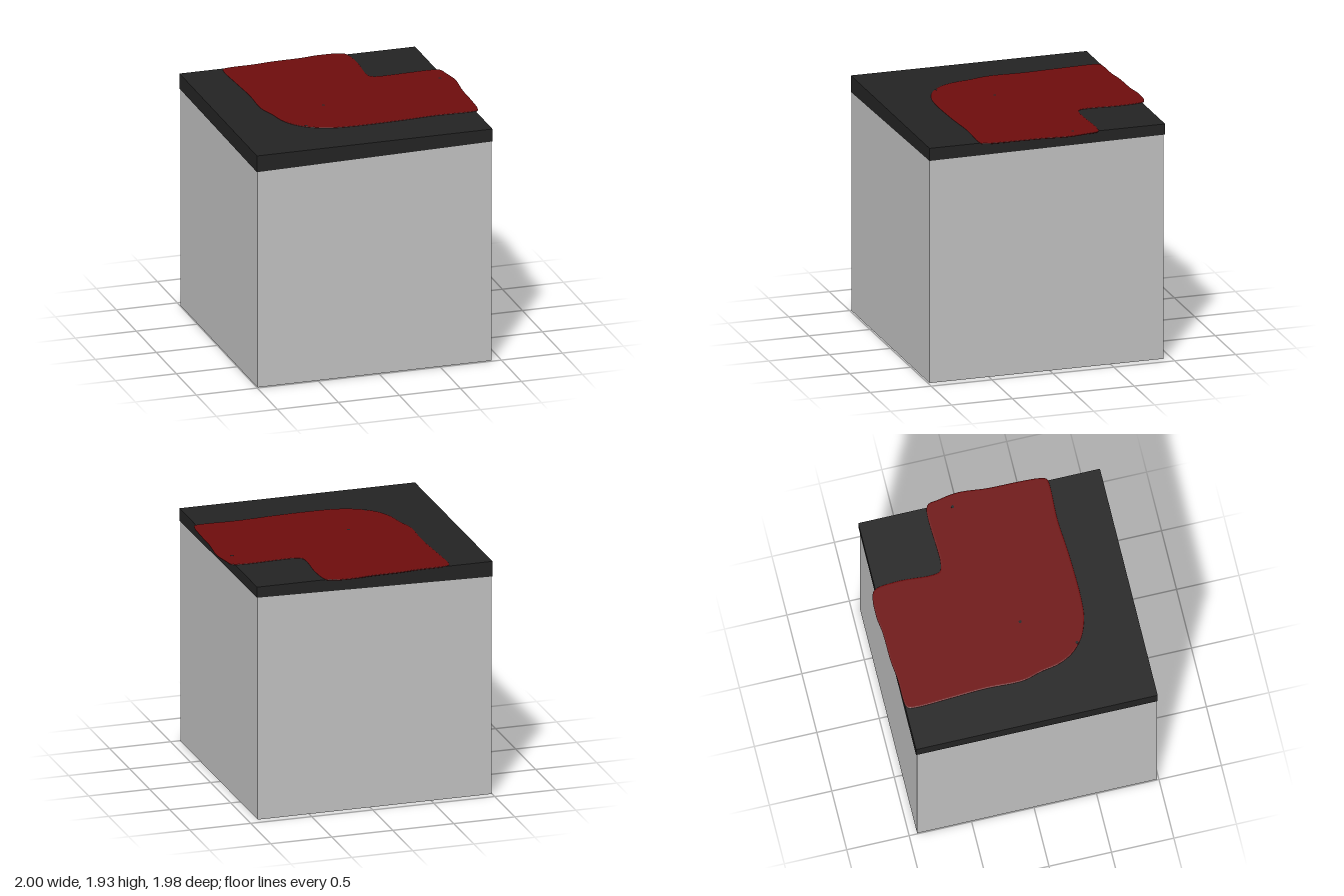
import * as THREE from 'three';

const flat = (name, color) => {
  const m = new THREE.MeshStandardMaterial({ color });
  m.name = name;
  return m;
};

export function createModel() {
  const group = new THREE.Group();
  group.name = 'cubeWithCloth';
  const grey = flat('light grey', 0xc2c2c2);
  const dark = flat('charcoal', 0x232323);
  const red = flat('dark red', 0x6e0d0d);

  const add = (name, geometry, material) => {
    const mesh = new THREE.Mesh(geometry, material);
    mesh.name = name;
    group.add(mesh);
    return mesh;
  };
  const box = (x0, x1, y0, y1, z0, z1) =>
    new THREE.BoxGeometry(x1 - x0, y1 - y0, z1 - z0)
      .translate((x0 + x1) / 2, (y0 + y1) / 2, (z0 + z1) / 2);

  // Cube body
  add('body', box(-0.995, 0.922, 0, 1.9, -0.935, 0.987), grey);

  // Lid with an uneven lower edge
  const lid = box(-1, 0.93, 1.79, 1.925, -0.945, 0.99);
  const p = lid.attributes.position;
  for (let i = 0; i < p.count; i++) {
    if (p.getY(i) > 1.9) continue;
    const back = p.getZ(i) < 0;
    if (p.getX(i) < 0) p.setY(i, back ? 1.8 : 1.79);
    else p.setY(i, back ? 1.838 : 1.822);
  }
  lid.computeVertexNormals();
  add('lid', lid, dark);

  // Thin patch lying on the lid and overhanging two sides, outline as x, z
  const outline = [
    [-0.66, -0.88], [-0.645, -0.93], [-0.6, -0.945], [-0.4, -0.95], [-0.24, -0.967],
    [0, -0.973], [0.14, -0.99], [0.32, -0.977], [0.365, -0.945], [0.39, -0.75],
    [0.377, -0.5], [0.39, -0.425], [0.44, -0.4], [0.9, -0.405], [0.955, -0.38],
    [0.972, -0.3], [0.997, -0.14], [0.977, 0.1], [0.973, 0.35], [0.962, 0.52],
    [0.945, 0.565], [0.9, 0.577], [0.6, 0.57], [0.3, 0.59], [-0.1, 0.597],
    [-0.25, 0.58], [-0.4, 0.52], [-0.51, 0.42], [-0.57, 0.3], [-0.6, 0.15],
    [-0.64, 0], [-0.635, -0.3], [-0.65, -0.6],
  ].map(([x, z]) => new THREE.Vector3(x, z, 0));
  const curve = new THREE.CatmullRomCurve3(outline, true, 'centripetal');
  const shape = new THREE.Shape(
    curve.getPoints(160).slice(0, -1).map((v) => new THREE.Vector2(v.x, v.y)));
  const patch = new THREE.ExtrudeGeometry(shape, {
    depth: 0.004, bevelThickness: 0.004, bevelSize: 0.012, bevelOffset: -0.012, bevelSegments: 3,
  });
  patch.rotateX(Math.PI / 2).translate(0, 1.927, 0);
  add('patch', patch, red);

  // Small dark specks on the patch
  for (const [x, z] of [[0.89, -0.2], [-0.16, 0.09], [-0.43, 0.48]]) {
    add('speck', new THREE.CylinderGeometry(0.012, 0.012, 0.002, 10), dark)
      .position.set(x, 1.931, z);
  }
  return group;
}
